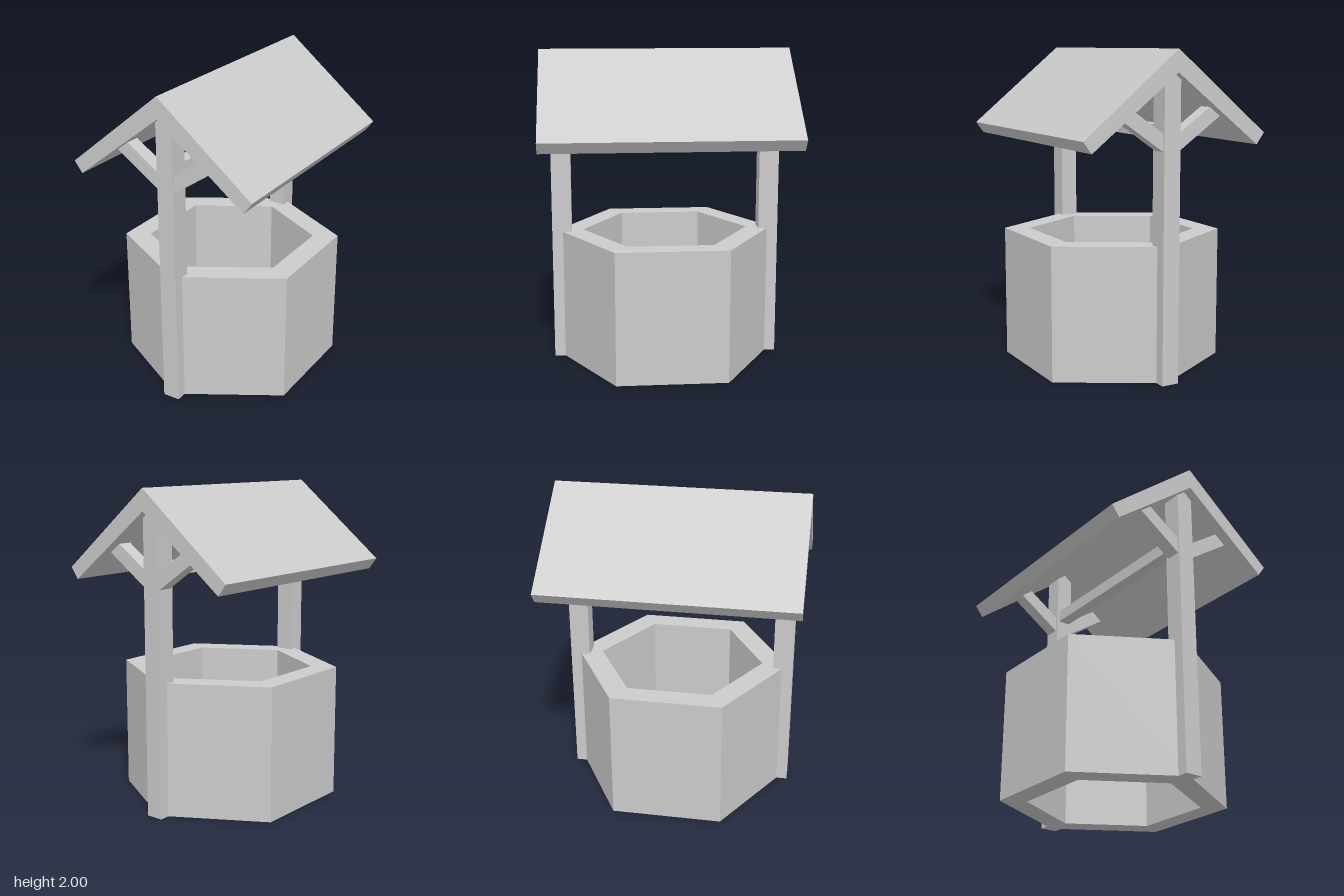
import * as THREE from 'three';

const material = new THREE.MeshStandardMaterial({ color: 0xcccccc, flatShading: true });

// Prism with an outline in x/y, running from z0 to z1
function prism(name, points, z0, z1) {
  const shape = new THREE.Shape(points.map(([x, y]) => new THREE.Vector2(x, y)));
  const geometry = new THREE.ExtrudeGeometry(shape, { depth: z1 - z0, bevelEnabled: false });
  geometry.translate(0, 0, z0);
  const mesh = new THREE.Mesh(geometry, material);
  mesh.name = name;
  return mesh;
}

// Hexagon with corners on the z axis after the wall is stood up
function hexagon(radius) {
  return Array.from({ length: 6 }, (_, i) => {
    const a = Math.PI / 2 + (i * Math.PI) / 3;
    return new THREE.Vector2(radius * Math.cos(a), radius * Math.sin(a));
  });
}

export function createModel() {
  const well = new THREE.Group();
  well.name = 'well';

  // Hexagonal wall, open at top and bottom
  const ring = new THREE.Shape(hexagon(0.693));
  ring.holes.push(new THREE.Path(hexagon(0.531)));
  const wallGeometry = new THREE.ExtrudeGeometry(ring, { depth: 0.84, bevelEnabled: false });
  wallGeometry.rotateX(-Math.PI / 2);
  const wall = new THREE.Mesh(wallGeometry, material);
  wall.name = 'wall';
  well.add(wall);

  // Gabled roof
  well.add(prism('roof', [
    [0, 2], [-0.612, 1.5], [-0.56, 1.43], [0, 1.866], [0.56, 1.43], [0.612, 1.5],
  ], -0.79, 0.79));

  // Posts with their tops cut to the roof slope, and a pair of braces on each
  for (const end of [1, -1]) {
    const span = (a, b) => (end > 0 ? [a, b] : [-b, -a]);
    const suffix = end > 0 ? 'Front' : 'Back';
    well.add(prism('post' + suffix, [
      [-0.055, 0], [0.055, 0], [0.055, 1.823], [0, 1.866], [-0.055, 1.823],
    ], ...span(0.605, 0.73)));

    for (const side of [1, -1]) {
      const outline = [[0.05, 1.405], [0.338, 1.603], [0.266, 1.659], [0.05, 1.511]];
      well.add(prism((side > 0 ? 'leftBrace' : 'rightBrace') + suffix,
        outline.map(([x, y]) => [side * x, y]), ...span(0.625, 0.717)));
    }
  }

  // Crossbeam between the posts
  const beam = new THREE.Mesh(new THREE.BoxGeometry(0.08, 0.08, 1.22), material);
  beam.name = 'crossbeam';
  beam.position.y = 1.52;
  well.add(beam);

  return well;
}
